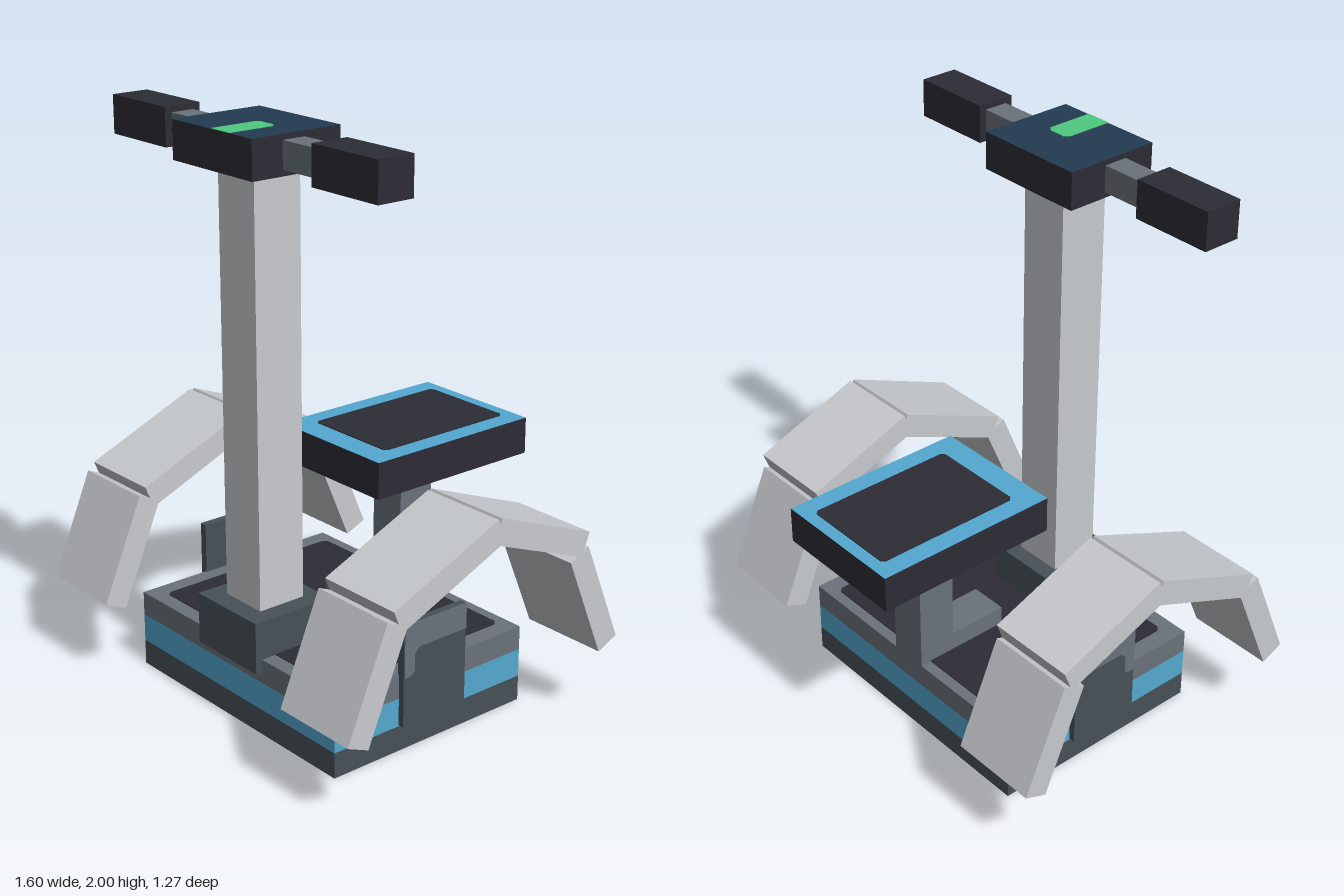
import * as THREE from 'three';

const paint = (name, color) => {
  const m = new THREE.MeshStandardMaterial({ color });
  m.name = name;
  return m;
};

export function createModel() {
  const silver = paint('silver', 0xc8cbcf);
  const black = paint('black', 0x2d2c35);
  const slate = paint('slate', 0x475158);
  const grey = paint('grey', 0x6a727a);
  const blue = paint('blue', 0x54a8d0);
  const navy = paint('navy', 0x223b51);
  const green = paint('green', 0x4fca80);

  const model = new THREE.Group();
  model.name = 'standRider';

  // Box given by its limits on each axis
  const box = (name, mat, [x0, x1], [y0, y1], [z0, z1], parent = model) => {
    const mesh = new THREE.Mesh(new THREE.BoxGeometry(x1 - x0, y1 - y0, z1 - z0), mat);
    mesh.position.set((x0 + x1) / 2, (y0 + y1) / 2, (z0 + z1) / 2);
    mesh.name = name;
    parent.add(mesh);
    return mesh;
  };
  // Face order of a box: +x, -x, +y, -y, +z, -z
  const withTop = (side, top) => [side, side, top, side, side, side];
  const withBottom = (side, bottom) => [side, side, side, bottom, side, side];

  // Flat plate with clipped corners, lying on a top surface
  const plate = (name, mat, [x0, x1], [z0, z1], y, c, clipFront = true) => {
    const f = clipFront ? c : 0;
    const shape = new THREE.Shape([
      [x0 + f, -z1], [x1 - f, -z1], [x1, -z1 + f], [x1, -z0 - c],
      [x1 - c, -z0], [x0 + c, -z0], [x0, -z0 - c], [x0, -z1 + f],
    ].map(([a, b]) => new THREE.Vector2(a, b)));
    const geo = new THREE.ExtrudeGeometry(shape, { depth: 0.003, bevelEnabled: false });
    geo.rotateX(-Math.PI / 2);
    const mesh = new THREE.Mesh(geo, mat);
    mesh.position.y = y;
    mesh.name = name;
    model.add(mesh);
  };

  // Layered base with foot mat
  const wide = [-0.52, 0.52], deep = [-0.36, 0.455];
  box('baseBottom', withBottom(slate, black), wide, [0, 0.09], deep);
  box('baseStripe', blue, wide, [0.09, 0.19], deep);
  box('baseDeck', grey, wide, [0.19, 0.275], deep);
  plate('footMat', black, [-0.455, 0.455], [-0.32, 0.4], 0.275, 0.015);

  // Steering column and console
  box('columnFoot', slate, [-0.155, 0.155], [0.23, 0.41], [0.17, 0.48]);
  box('column', silver, [-0.09, 0.09], [0.41, 1.87], [0.23, 0.41]);
  box('console', withTop(black, navy), [-0.2, 0.2], [1.87, 1.998], [0.16, 0.5]);
  plate('display', green, [0, 0.09], [0.32, 0.5], 1.997, 0.015, false);

  // Seat
  box('seatFoot', grey, [-0.07, 0.07], [0.275, 0.345], [-0.22, 0.0]);
  box('seatPost', grey, [-0.07, 0.07], [0.275, 0.757], [-0.36, -0.22]);
  box('seat', withTop(black, blue), [-0.25, 0.25], [0.755, 0.884], [-0.635, 0.04]);
  plate('seatPad', black, [-0.18, 0.18], [-0.59, -0.05], 0.884, 0.012);

  // Fender slabs: centre z, centre y, height, depth, tilt
  const slabs = [
    [0.52, 0.458, 0.393, 0.088, -0.4],
    [0.23, 0.732, 0.086, 0.46, 0.4],
    [-0.163, 0.745, 0.086, 0.425, -0.37],
    [-0.412, 0.458, 0.393, 0.088, 0.4],
  ];
  // Lighter area on each side panel, in z and y
  const patch = [
    [0.183, 0.455], [-0.085, 0.455], [-0.085, 0.365], [0.12, 0.365],
    [0.14, 0.345], [0.14, 0.285], [0.155, 0.27], [0.183, 0.27],
  ];
  const patchShape = new THREE.Shape(patch.map(([z, y]) => new THREE.Vector2(-z, y)));

  for (const s of [-1, 1]) {
    const label = s > 0 ? 'left' : 'right';
    const span = (a, b) => (s > 0 ? [a, b] : [-b, -a]);

    // Handlebar
    box(label + 'Bar', grey, span(0.2, 0.365), [1.89, 1.98], [0.3, 0.385]);
    box(label + 'Grip', black, span(0.365, 0.658), [1.87, 2.0], [0.275, 0.41]);

    // Side panel with its lighter patch
    box(label + 'Panel', slate, span(0.515, 0.542), [0.095, 0.455], [-0.085, 0.185]);
    const geo = new THREE.ExtrudeGeometry(patchShape, { depth: 0.003, bevelEnabled: false });
    geo.rotateY(Math.PI / 2);
    const inlay = new THREE.Mesh(geo, grey);
    inlay.position.x = s > 0 ? 0.542 : -0.545;
    inlay.name = label + 'PanelPatch';
    model.add(inlay);

    // Arched fender
    const fender = new THREE.Group();
    fender.name = label + 'Fender';
    for (const [z, y, h, d, tilt] of slabs) {
      const slab = new THREE.Mesh(new THREE.BoxGeometry(0.318, h, d), silver);
      slab.position.set(s * 0.639, y, z);
      slab.rotation.x = tilt;
      slab.name = 'fenderSlab';
      fender.add(slab);
    }
    model.add(fender);
  }
  return model;
}
